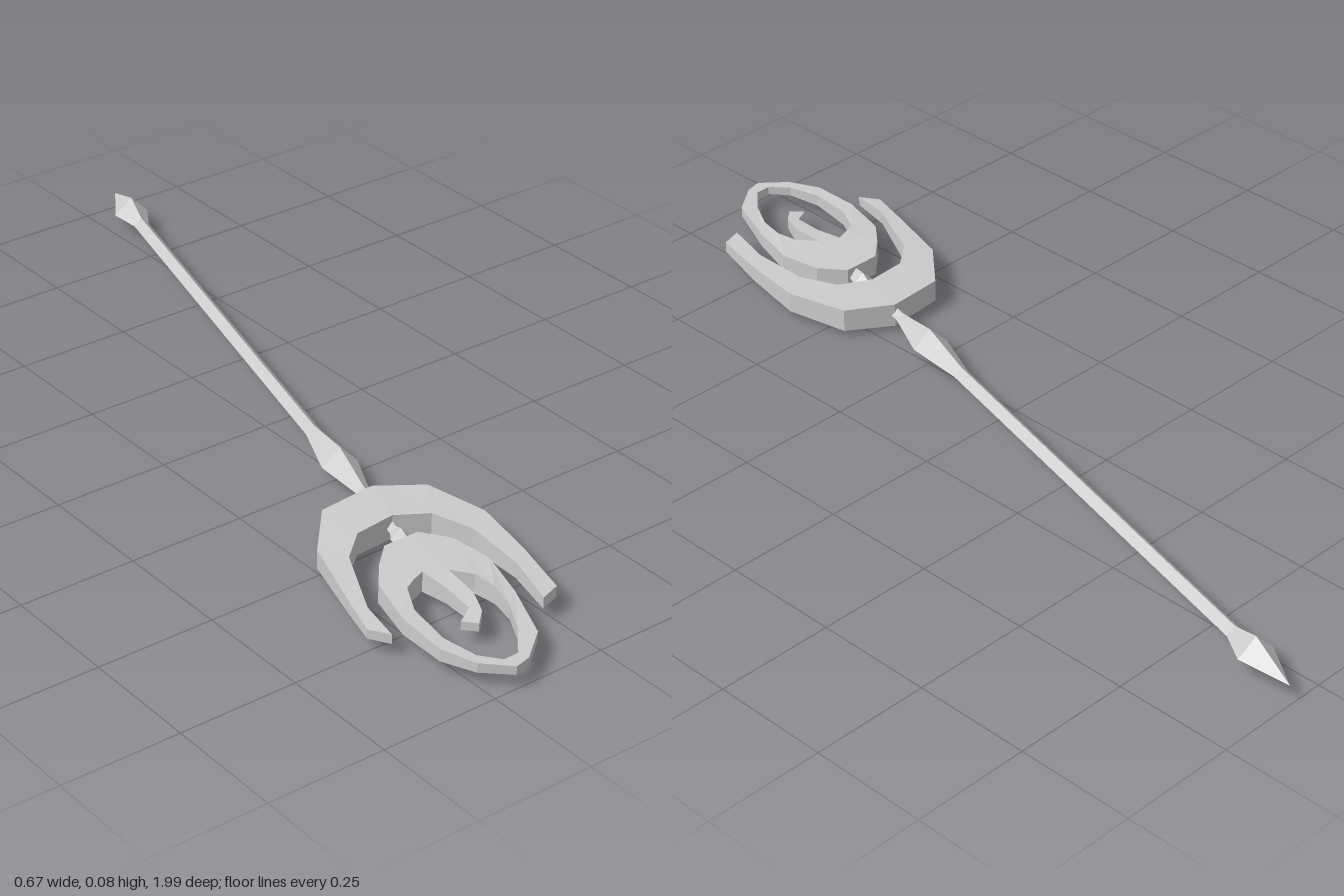
import * as THREE from 'three';

const AXIS_Y = 0.04; // height of the staff's centre line
const material = new THREE.MeshStandardMaterial({ color: 0xcccccc, flatShading: true });

// Four-sided turned part along the staff axis; profile is [radius, distance]
function turned(name, profile) {
  const points = profile.map(([r, s]) => new THREE.Vector2(r, s));
  const geometry = new THREE.LatheGeometry(points, 4).toNonIndexed();
  geometry.rotateX(Math.PI / 2);
  geometry.rotateY(THREE.MathUtils.degToRad(-15));
  geometry.translate(0.058, AXIS_Y, 0);
  geometry.computeVertexNormals();
  const mesh = new THREE.Mesh(geometry, material);
  mesh.name = name;
  return mesh;
}

// Flat band of tapering thickness; station is [outerX, outerZ, innerX, innerZ, halfThickness]
function band(name, stations, closed = false) {
  const rings = stations.map(([ox, oz, ix, iz, h]) => [
    [ox, AXIS_Y + h, oz], [ix, AXIS_Y + h, iz],
    [ix, AXIS_Y - h, iz], [ox, AXIS_Y - h, oz],
  ]);
  const positions = [];
  const quad = (a, b, c, d) => positions.push(...a, ...b, ...c, ...a, ...c, ...d);
  const n = rings.length;
  for (let i = 0; i < (closed ? n : n - 1); i++) {
    const a = rings[i], b = rings[(i + 1) % n];
    for (let k = 0; k < 4; k++) {
      const m = (k + 1) % 4;
      quad(a[k], a[m], b[m], b[k]);
    }
  }
  if (!closed) {
    const [p, q, r, s] = rings[0];
    quad(p, s, r, q);
    quad(...rings[n - 1]);
  }
  const geometry = new THREE.BufferGeometry();
  geometry.setAttribute('position', new THREE.Float32BufferAttribute(positions, 3));
  geometry.computeVertexNormals();
  const mesh = new THREE.Mesh(geometry, material);
  mesh.name = name;
  return mesh;
}

export function createModel() {
  const model = new THREE.Group();
  model.name = 'staff';

  // Shaft with a pointed foot and a faceted collar below the head
  model.add(turned('shaft', [
    [0, -1.03], [0.038, -0.921], [0.017, -0.855], [0.017, 0.135],
    [0.038, 0.265], [0.014, 0.38], [0.014, 0.44], [0, 0.44],
  ]));

  // Small link between the two head pieces
  model.add(turned('headLink', [
    [0, 0.49], [0.012, 0.49], [0.013, 0.535], [0.021, 0.555], [0.014, 0.61], [0, 0.61],
  ]));

  // Large open crescent
  model.add(band('outerCrescent', [
    [-0.338, 0.75, -0.313, 0.79, 0.010],
    [-0.31, 0.66, -0.297, 0.70, 0.014],
    [-0.257, 0.50, -0.225, 0.555, 0.020],
    [-0.167, 0.40, -0.165, 0.505, 0.024],
    [-0.04, 0.39, -0.075, 0.497, 0.026],
    [0.05, 0.45, -0.01, 0.535, 0.025],
    [0.08, 0.585, 0.02, 0.62, 0.022],
    [0.057, 0.72, 0.013, 0.75, 0.017],
    [0.025, 0.85, -0.02, 0.865, 0.012],
  ]));

  // Closed ring, broad near the shaft and thin at the far end
  model.add(band('innerRing', [
    [-0.15, 0.566, -0.15, 0.677, 0.022],
    [-0.07, 0.566, -0.108, 0.70, 0.022],
    [-0.03, 0.62, -0.078, 0.74, 0.021],
    [-0.018, 0.71, -0.073, 0.79, 0.019],
    [-0.05, 0.82, -0.088, 0.85, 0.015],
    [-0.10, 0.94, -0.125, 0.915, 0.011],
    [-0.165, 0.99, -0.17, 0.967, 0.009],
    [-0.20, 0.998, -0.203, 0.968, 0.009],
    [-0.25, 0.95, -0.235, 0.93, 0.010],
    [-0.277, 0.88, -0.25, 0.855, 0.013],
    [-0.272, 0.77, -0.237, 0.76, 0.017],
    [-0.24, 0.66, -0.205, 0.70, 0.020],
    [-0.198, 0.61, -0.18, 0.688, 0.022],
  ], true));

  // Curled hook hanging inside the ring
  model.add(band('innerHook', [
    [-0.108, 0.70, -0.15, 0.677, 0.022],
    [-0.115, 0.78, -0.145, 0.74, 0.017],
    [-0.137, 0.83, -0.151, 0.81, 0.013],
    [-0.165, 0.855, -0.187, 0.83, 0.009],
  ]));

  return model;
}
